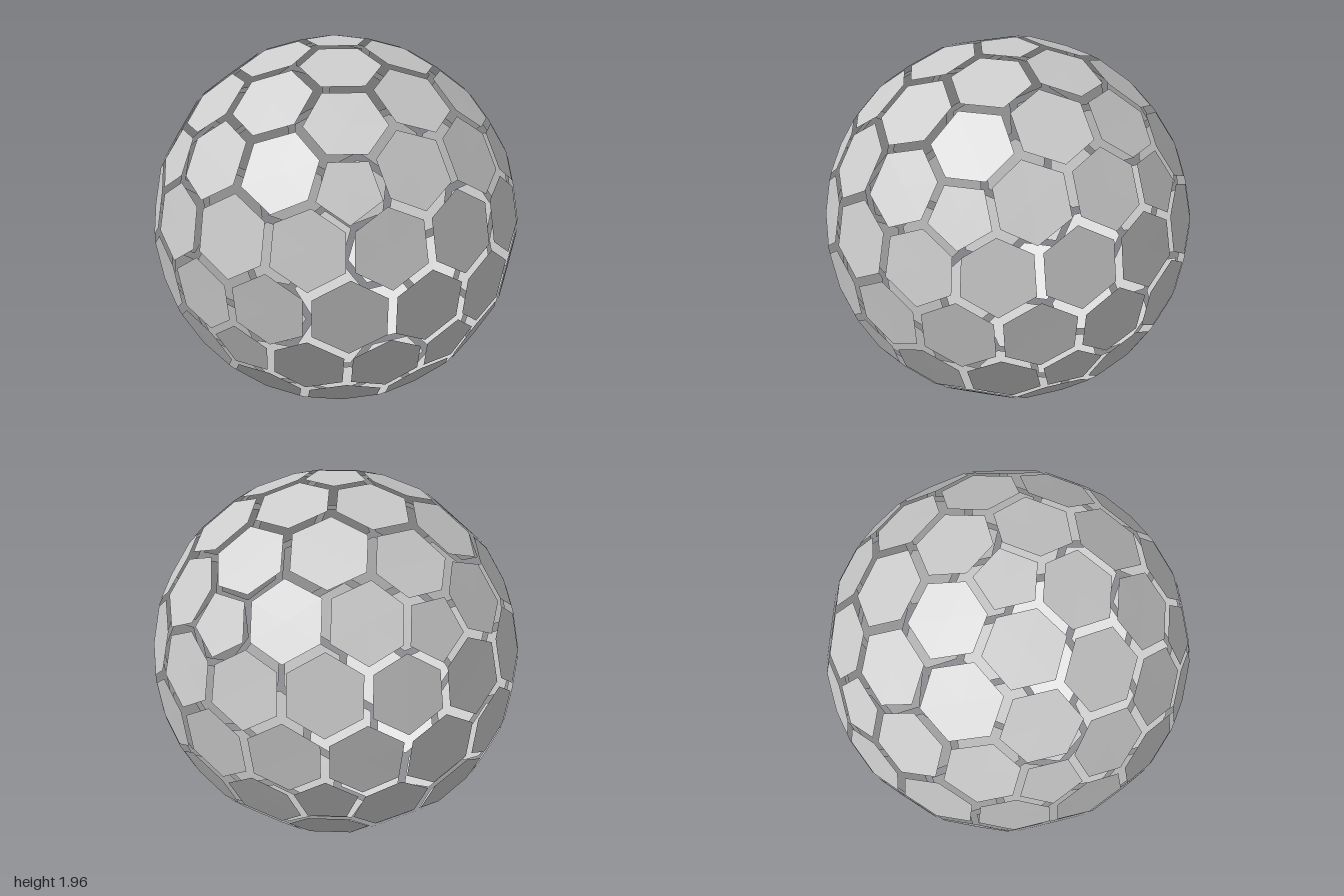
import * as THREE from 'three';
import { mergeVertices } from 'three/addons/utils/BufferGeometryUtils.js';

const RADIUS = 1;
const PANEL_SCALE = 0.89; // each panel shrinks about its centre, leaving open joints

const material = new THREE.MeshStandardMaterial({
  color: 0xcccccc,
  flatShading: true,
  side: THREE.DoubleSide,
});

// Geodesic sphere with one vertex at the top and its next ring vertex facing the front
function geodesicSphere() {
  const geo = new THREE.IcosahedronGeometry(1, 2);
  geo.deleteAttribute('normal');
  geo.deleteAttribute('uv');
  geo.rotateZ(Math.atan(2 / (1 + Math.sqrt(5))));
  geo.rotateY(Math.PI / 2);
  return mergeVertices(geo, 1e-4);
}

// Flat fan of triangles around the centre of a ring of corners
function panelGeometry(corners) {
  const centre = new THREE.Vector3();
  corners.forEach((c) => centre.addScaledVector(c, 1 / corners.length));
  const rim = corners.map((c) => centre.clone().lerp(c, PANEL_SCALE));
  const points = rim.flatMap((p, i) => [centre, p, rim[(i + 1) % rim.length]]);
  const geo = new THREE.BufferGeometry().setFromPoints(points);
  geo.computeVertexNormals();
  return geo;
}

export function createModel() {
  const group = new THREE.Group();
  group.name = 'panelledSphere';

  const sphere = geodesicSphere();
  const pos = sphere.getAttribute('position');
  const index = sphere.getIndex();
  const vertices = Array.from({ length: pos.count }, (_, i) =>
    new THREE.Vector3().fromBufferAttribute(pos, i));

  // Every triangle centre becomes a corner of the three panels around it
  const rings = vertices.map(() => []);
  for (let i = 0; i < index.count; i += 3) {
    const ids = [0, 1, 2].map((k) => index.getX(i + k));
    const corner = new THREE.Vector3();
    ids.forEach((id) => corner.add(vertices[id]));
    corner.setLength(RADIUS);
    ids.forEach((id) => rings[id].push(corner));
  }

  // One panel per vertex: 12 pentagons and 80 hexagons
  vertices.forEach((normal, i) => {
    const u = rings[i][0].clone().projectOnPlane(normal).normalize();
    const v = normal.clone().cross(u);
    const angle = (c) => Math.atan2(c.dot(v), c.dot(u));
    const corners = rings[i].slice().sort((a, b) => angle(a) - angle(b));
    const panel = new THREE.Mesh(panelGeometry(corners), material);
    panel.name = corners.length === 5 ? 'pentagonPanel' : 'hexagonPanel';
    panel.position.y = RADIUS;
    group.add(panel);
  });

  return group;
}
